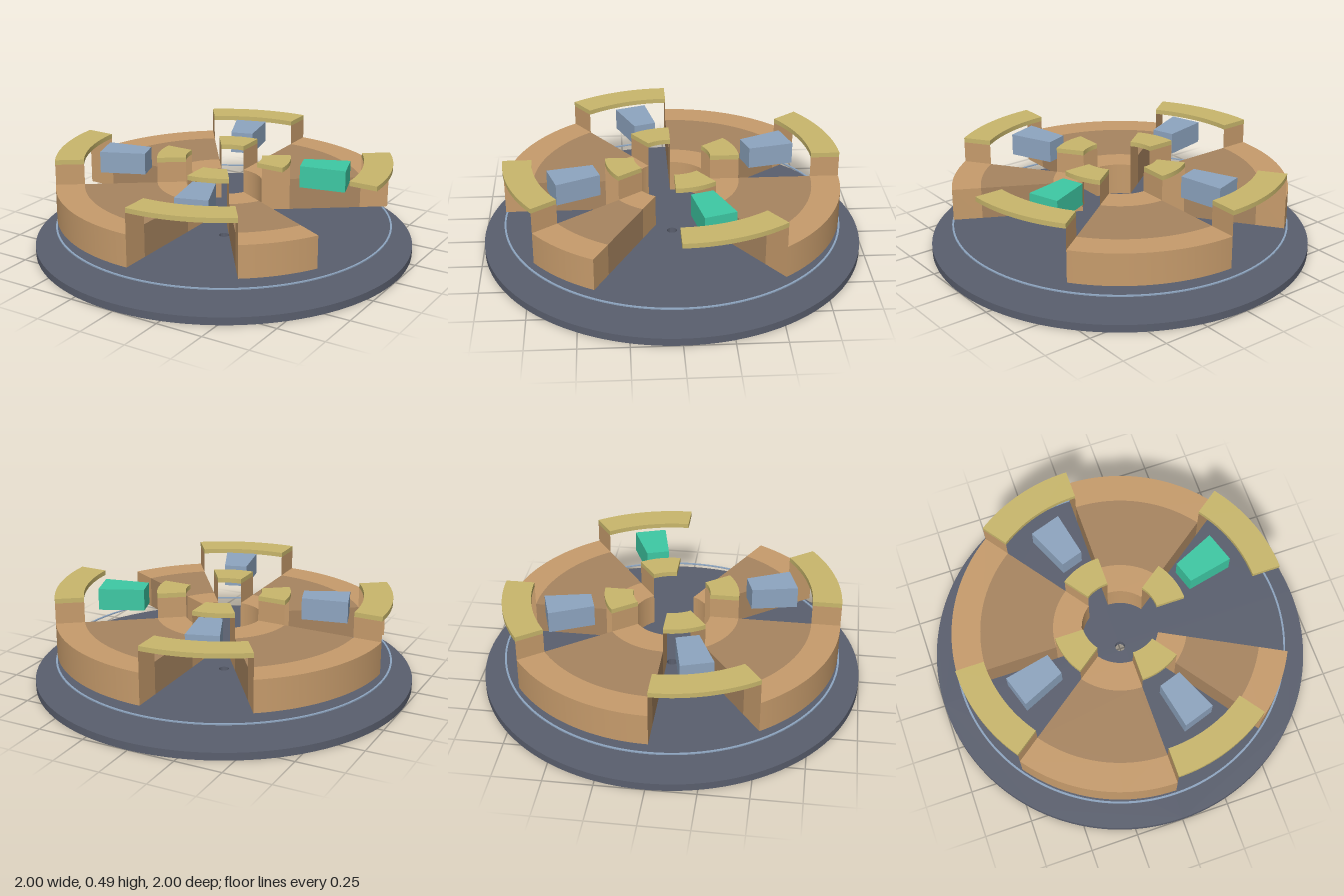
import * as THREE from 'three';
import { toCreasedNormals } from 'three/addons/utils/BufferGeometryUtils.js';

const rad = THREE.MathUtils.degToRad;

// Lay an XY shape flat and extrude it from y0 to y1
function slab(shape, y0, y1, curveSegments = 24) {
  const geo = new THREE.ExtrudeGeometry(shape, { depth: y1 - y0, bevelEnabled: false, curveSegments });
  geo.rotateX(-Math.PI / 2).translate(0, y0, 0);
  return toCreasedNormals(geo, 0.5);
}

// Ring sector between two radii and two angles in degrees
function sector(r0, r1, a0, a1) {
  const s = new THREE.Shape();
  s.absarc(0, 0, r1, rad(a0), rad(a1), false);
  s.absarc(0, 0, r0, rad(a1), rad(a0), true);
  s.closePath();
  return s;
}

function ring(r0, r1) {
  const s = new THREE.Shape();
  s.absarc(0, 0, r1, 0, Math.PI * 2, false);
  const hole = new THREE.Path();
  hole.absarc(0, 0, r0, 0, Math.PI * 2, true);
  s.holes.push(hole);
  return s;
}

export function createModel() {
  const model = new THREE.Group();
  model.name = 'segmentedRotor';

  const material = (name, color, side = THREE.FrontSide) => {
    const m = new THREE.MeshStandardMaterial({ color, side });
    m.name = name;
    return m;
  };
  const slate = material('slate', 0x5a5f6e);
  const copper = material('copper', 0xc79c6c, THREE.DoubleSide);
  const darkCopper = material('darkCopper', 0xa88560);
  const brass = material('brass', 0xc9b76c);
  const blue = material('steelBlue', 0x8ea5c0);
  const teal = material('teal', 0x3ec9a4);

  const add = (parent, name, geo, mat) => {
    const mesh = new THREE.Mesh(geo, mat);
    mesh.name = name;
    parent.add(mesh);
    return mesh;
  };

  // Base disc with a pin hole, and the thin ring floating above it
  add(model, 'baseDisc', slab(ring(0.027, 1), 0, 0.04, 64), slate);
  add(model, 'thinRing', slab(ring(0.88, 0.89), 0.128, 0.134, 64), blue);

  const rails = [[0.2, 0.35], [0.73, 0.88]];
  const bottom = 0.18, deck = 0.35, capBottom = 0.46, top = 0.485;

  for (let i = 0; i < 4; i++) {
    const start = i * 90, mid = start + 36;
    // The last wedge is cut short
    const end = i === 3 ? start + 62 : start + 90;

    // Low wedge: darker core between two copper rails
    const wedge = new THREE.Group();
    wedge.name = 'wedge';
    model.add(wedge);
    add(wedge, 'wedgeCore', slab(sector(0.35, 0.73, mid, end), bottom, deck), darkCopper);
    for (const [r0, r1] of rails)
      add(wedge, 'wedgeRail', slab(sector(r0, r1, mid, end), bottom, deck), copper);

    // Raised bridge: brass caps carried by thin radial plates
    const bridge = new THREE.Group();
    bridge.name = 'bridge';
    model.add(bridge);
    for (const [r0, r1] of rails) {
      add(bridge, 'bridgeCap', slab(sector(r0, r1, start, mid), capBottom, top), brass);
      for (const a of i === 0 ? [mid] : [start, mid]) {
        const plate = new THREE.PlaneGeometry(r1 - r0, capBottom - deck);
        plate.translate((r0 + r1) / 2, (capBottom + deck) / 2, 0).rotateY(rad(a));
        add(bridge, 'bridgePlate', plate, copper);
      }
    }

    // Tapered block in the middle of each gap
    const taper = new THREE.Shape([
      new THREE.Vector2(0.415, -0.06), new THREE.Vector2(0.655, -0.085),
      new THREE.Vector2(0.655, 0.085), new THREE.Vector2(0.415, 0.06),
    ]);
    const block = add(model, 'sensorBlock', slab(taper, 0.37, top), i === 0 ? teal : blue);
    block.rotation.y = rad(start + 18);
  }
  return model;
}
